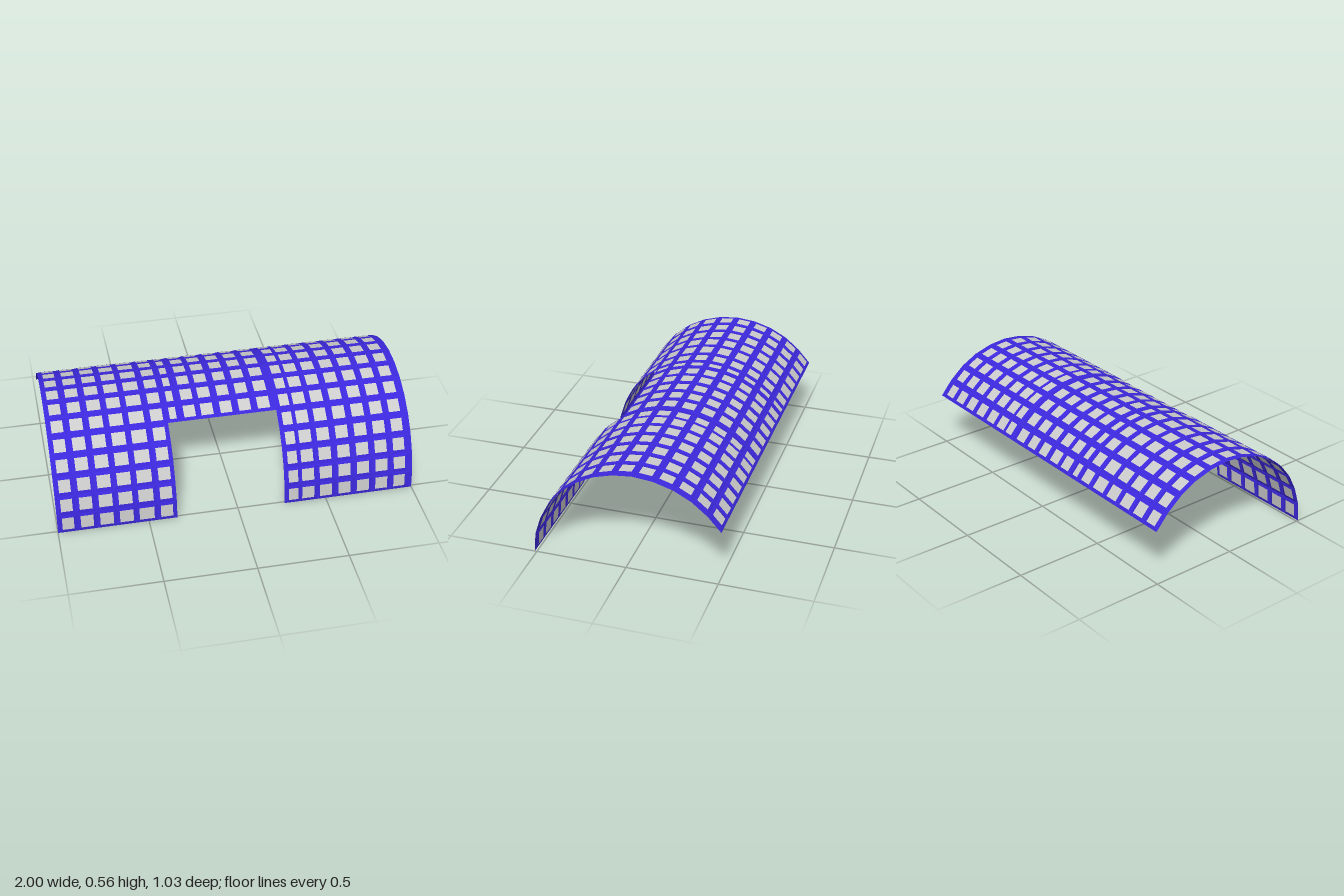
import * as THREE from 'three';

// Arched cross-section as [z, y], from the front foot over the crown to the back edge
const ARCH = [
  [0.512, 0], [0.502, 0.113], [0.469, 0.217], [0.419, 0.313], [0.351, 0.397],
  [0.265, 0.467], [0.168, 0.518], [0.062, 0.549], [-0.046, 0.56], [-0.154, 0.549],
  [-0.259, 0.518], [-0.355, 0.467], [-0.44, 0.397], [-0.512, 0.315],
];
const BULGE = 0.004; // half thickness at the pane
const BAR = 0.019; // frame bar width along the arch

// Bays: name, first arch row, x limits and the x span of every pane column
const BAYS = [
  { name: 'rightBay', row: 0, x0: -1, x1: -0.342, panes: [
    [-0.973, -0.909], [-0.872, -0.802], [-0.766, -0.692], [-0.658, -0.583], [-0.55, -0.468], [-0.432, -0.365]] },
  { name: 'middleBay', row: 5, x0: -0.342, x1: 0.263, panes: [
    [-0.328, -0.29], [-0.248, -0.183], [-0.152, -0.084], [-0.045, 0.021], [0.059, 0.126], [0.164, 0.233]] },
  { name: 'leftBay', row: 0, x0: 0.263, x1: 1, panes: [
    [0.288, 0.342], [0.364, 0.433], [0.465, 0.535], [0.572, 0.642], [0.679, 0.749], [0.786, 0.855], [0.892, 0.957]] },
];

function quad(out, a, b, c, d) {
  for (const p of [a, b, c, a, c, d]) out.push(p.x, p.y, p.z);
}

function makeMesh(name, positions, color) {
  const geometry = new THREE.BufferGeometry();
  geometry.setAttribute('position', new THREE.Float32BufferAttribute(positions, 3));
  geometry.computeVertexNormals();
  const mesh = new THREE.Mesh(geometry, new THREE.MeshStandardMaterial({ color, side: THREE.DoubleSide }));
  mesh.name = name;
  return mesh;
}

// One cell: a frame that thickens from its seam toward a flat pane, on both faces
function addCell(frame, glass, row, x0, x1, [p0, p1]) {
  const start = new THREE.Vector2(...ARCH[row]);
  const along = new THREE.Vector2(...ARCH[row + 1]).sub(start);
  const length = along.length();
  along.normalize();
  const at = (x, v, h) => new THREE.Vector3(
    x, start.y + along.y * v - along.x * h, start.x + along.x * v + along.y * h);
  const ring = (a, b, v0, v1, h) => [at(a, v0, h), at(b, v0, h), at(b, v1, h), at(a, v1, h)];
  const outer = ring(x0, x1, 0, length, 0);
  for (const side of [1, -1]) {
    const inner = ring(p0, p1, BAR, length - BAR, side * BULGE);
    for (let i = 0; i < 4; i++) {
      const j = (i + 1) % 4;
      if (side > 0) quad(frame, outer[i], outer[j], inner[j], inner[i]);
      else quad(frame, outer[j], outer[i], inner[i], inner[j]);
    }
    quad(glass, ...(side > 0 ? inner : inner.reverse()));
  }
}

export function createModel() {
  const model = new THREE.Group();
  model.name = 'archedCanopy';
  for (const { name, row, x0, x1, panes } of BAYS) {
    const frame = [], glass = [];
    // Column seams lie midway between neighbouring panes
    const seams = [x0, ...panes.slice(1).map((p, i) => (panes[i][1] + p[0]) / 2), x1];
    for (let r = row; r < ARCH.length - 1; r++) {
      panes.forEach((pane, c) => addCell(frame, glass, r, seams[c], seams[c + 1], pane));
    }
    const bay = new THREE.Group();
    bay.name = name;
    bay.add(makeMesh('frame', frame, 0x3c28dc), makeMesh('panes', glass, 0xcccccc));
    model.add(bay);
  }
  return model;
}
